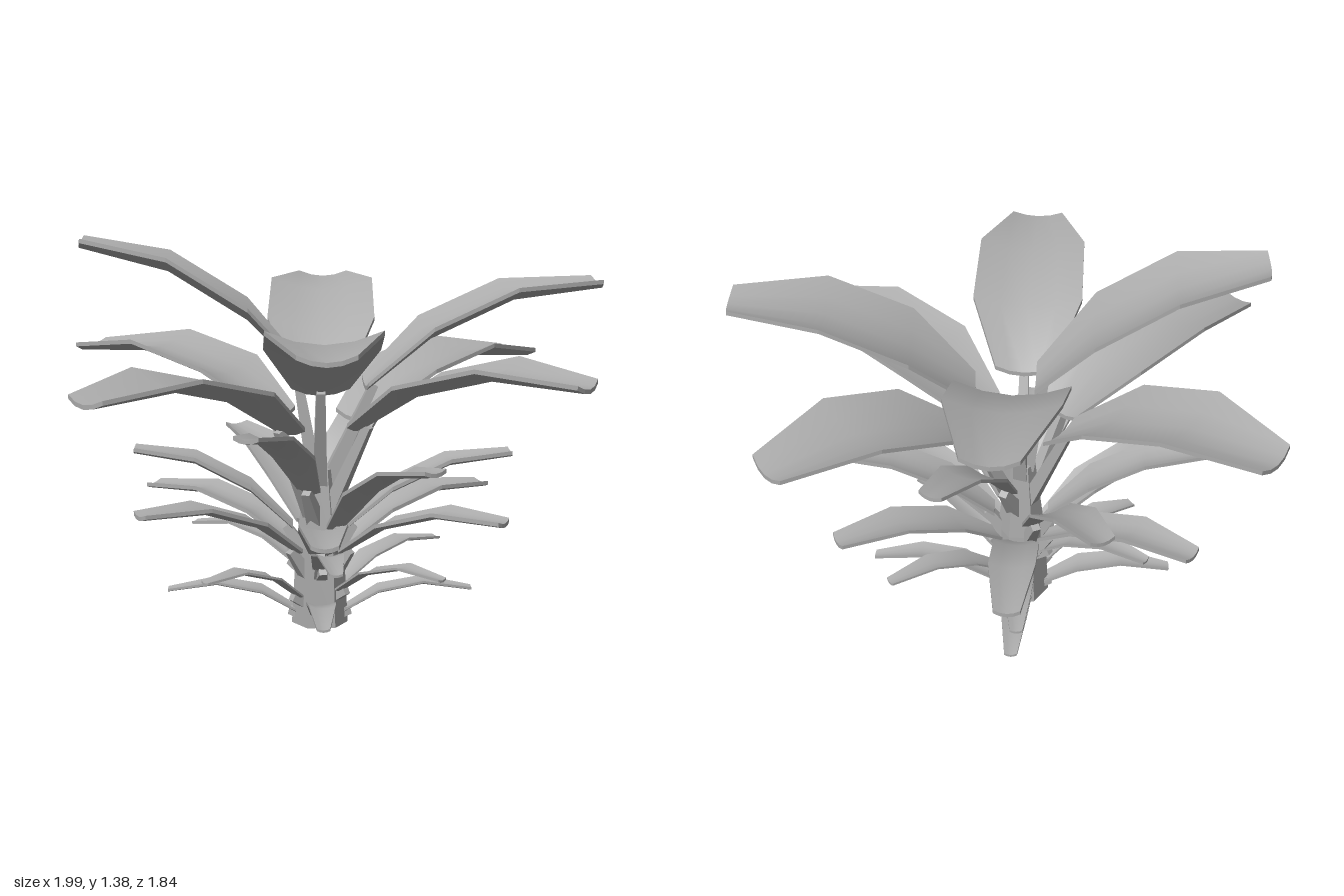
import * as THREE from 'three';

const grey = new THREE.MeshStandardMaterial({ color: 0xacacac });
grey.name = 'plain grey';

const ALONG = [0, 0.27, 0.62, 1]; // stations along a blade
const BUMP = [0, 0.9, 1, 0]; // how much of the arch each station gets
const ACROSS = [-1, -0.5, 0, 0.5, 1];

// Cupped, arched slab running along +x from (r0, y0) to (r1, y1)
function bladeGeometry(r0, y0, r1, y1, { widths, arch, slab }) {
  const top = ALONG.map((f, i) => ACROSS.map((u) => {
    const w = widths[i];
    const bulge = f === 1 ? (1 - u * u) * w * 0.1 : 0;
    return [
      r0 + (r1 - r0) * f + bulge - w * 0.1 * (1 - f),
      y0 + (y1 - y0) * f + arch * BUMP[i] + 0.24 * w * (u * u - 0.3),
      u * w,
    ];
  }));
  const pos = [], idx = [];
  const nu = ACROSS.length, ns = ALONG.length;
  const down = ([x, y, z]) => [x, y - slab, z];

  // upper and lower skins
  for (const under of [false, true]) {
    const start = pos.length / 3;
    top.flat().forEach((p) => pos.push(...(under ? down(p) : p)));
    for (let i = 0; i < ns - 1; i++) for (let j = 0; j < nu - 1; j++) {
      const a = start + i * nu + j, b = a + 1, c = a + nu, d = c + 1;
      if (under) idx.push(a, c, b, b, c, d);
      else idx.push(a, b, c, b, d, c);
    }
  }
  // rim
  const inner = top.slice(1, -1);
  const loop = [
    ...top[0],
    ...inner.map((row) => row[nu - 1]),
    ...[...top[ns - 1]].reverse(),
    ...inner.map((row) => row[0]).reverse(),
  ];
  loop.forEach((a, k) => {
    const b = loop[(k + 1) % loop.length], s = pos.length / 3;
    pos.push(...down(a), ...down(b), ...b, ...a);
    idx.push(s, s + 1, s + 2, s, s + 2, s + 3);
  });
  const g = new THREE.BufferGeometry();
  g.setAttribute('position', new THREE.Float32BufferAttribute(pos, 3));
  g.setIndex(idx);
  g.computeVertexNormals();
  return g;
}

// Give every face its own normal
function faceted(geometry) {
  const g = geometry.toNonIndexed();
  g.computeVertexNormals();
  return g;
}

// Square tapering stalk between two points in the local xy plane
function stalkGeometry(x0, y0, x1, y1, thick) {
  const len = Math.hypot(x1 - x0, y1 - y0);
  const g = faceted(new THREE.CylinderGeometry(thick * 0.6, thick, len, 4));
  g.rotateY(Math.PI / 4);
  g.rotateZ(Math.atan2(y1 - y0, x1 - x0) - Math.PI / 2);
  g.translate((x0 + x1) / 2, (y0 + y1) / 2, 0);
  return g;
}

function mesh(name, geometry) {
  const m = new THREE.Mesh(geometry, grey);
  m.name = name;
  return m;
}

// Leaf styles: half widths at each station, arch, slab thickness, stalk start and size
const crown = {
  name: 'crownLeaf', widths: [0.1, 0.195, 0.19, 0.093], arch: 0.1, slab: 0.015,
  stalkR: 0.02, drop: 0.36, thick: 0.036,
};
const middle = {
  name: 'middleLeaf', widths: [0.042, 0.08, 0.08, 0.045], arch: 0.07, slab: 0.014,
  stalkR: 0.04, drop: 0.12, thick: 0.036,
};
const lower = {
  name: 'lowerLeaf', widths: [0.035, 0.052, 0.045, 0.022], arch: 0.055, slab: 0.008,
  stalkR: 0.05, drop: 0.04, thick: 0.032,
};

// Angle is in degrees from +x towards +z
function makeLeaf(style, angle, reach, tipY, baseR, baseY) {
  const leaf = new THREE.Group();
  leaf.name = style.name;
  leaf.rotation.y = -THREE.MathUtils.degToRad(angle);
  leaf.add(
    mesh('blade', bladeGeometry(baseR, baseY, reach, tipY, style)),
    mesh('stalk', stalkGeometry(style.stalkR, Math.max(0.03, baseY - style.drop),
      baseR + 0.02, baseY - 0.005, style.thick)),
  );
  return leaf;
}

export function createModel() {
  const model = new THREE.Group();
  model.name = 'leafyPlant';

  // Six-sided tapering stem
  const profile = [[0, 0], [0.1, 0], [0.085, 0.28], [0.05, 0.56], [0, 0.58]]
    .map(([x, y]) => new THREE.Vector2(x, y));
  model.add(mesh('stem', faceted(new THREE.LatheGeometry(profile, 6))));

  // Crown of big leaves: angle, reach, tip height, base radius, base height
  for (const leaf of [
    [-6.5, 0.99, 0.90, 0.17, 0.73],
    [28, 0.98, 1.21, 0.17, 0.86],
    [62, 0.99, 0.92, 0.17, 0.73],
    [122, 0.94, 1.07, 0.14, 0.86],
    [171, 0.995, 0.90, 0.17, 0.72],
    [211, 0.82, 1.36, 0.06, 0.90],
    [243, 0.99, 0.94, 0.17, 0.74],
    [304, 0.915, 1.165, 0.08, 0.86],
  ]) model.add(makeLeaf(crown, ...leaf));

  // Middle leaves: a ring of six, then three opposite pairs above it
  for (let k = 0; k < 6; k++) {
    model.add(makeLeaf(middle, 2 + 60 * k, 0.705, k === 3 ? 0.47 : 0.44, 0.1, 0.28));
  }
  for (const [angle, reach, tipY, baseY] of [
    [28, 0.68, 0.61, 0.36], [212, 0.65, 0.635, 0.36],
    [87, 0.635, 0.645, 0.37], [273, 0.63, 0.63, 0.36],
    [-31, 0.58, 0.76, 0.5], [146, 0.615, 0.765, 0.5],
  ]) model.add(makeLeaf(middle, angle, reach, tipY, 0.1, baseY));

  // Lower leaves: six short ones over four at the foot
  for (const [angle, reach, tipY] of [
    [-3, 0.54, 0.24], [72, 0.53, 0.24], [118, 0.58, 0.32],
    [178, 0.48, 0.215], [239, 0.51, 0.32], [300, 0.53, 0.22],
  ]) model.add(makeLeaf(lower, angle, reach, tipY, 0.1, tipY - 0.1));
  for (let k = 0; k < 4; k++) {
    model.add(makeLeaf(lower, 32 + 90 * k, 0.54, 0.125, 0.09, 0.05));
  }
  return model;
}
